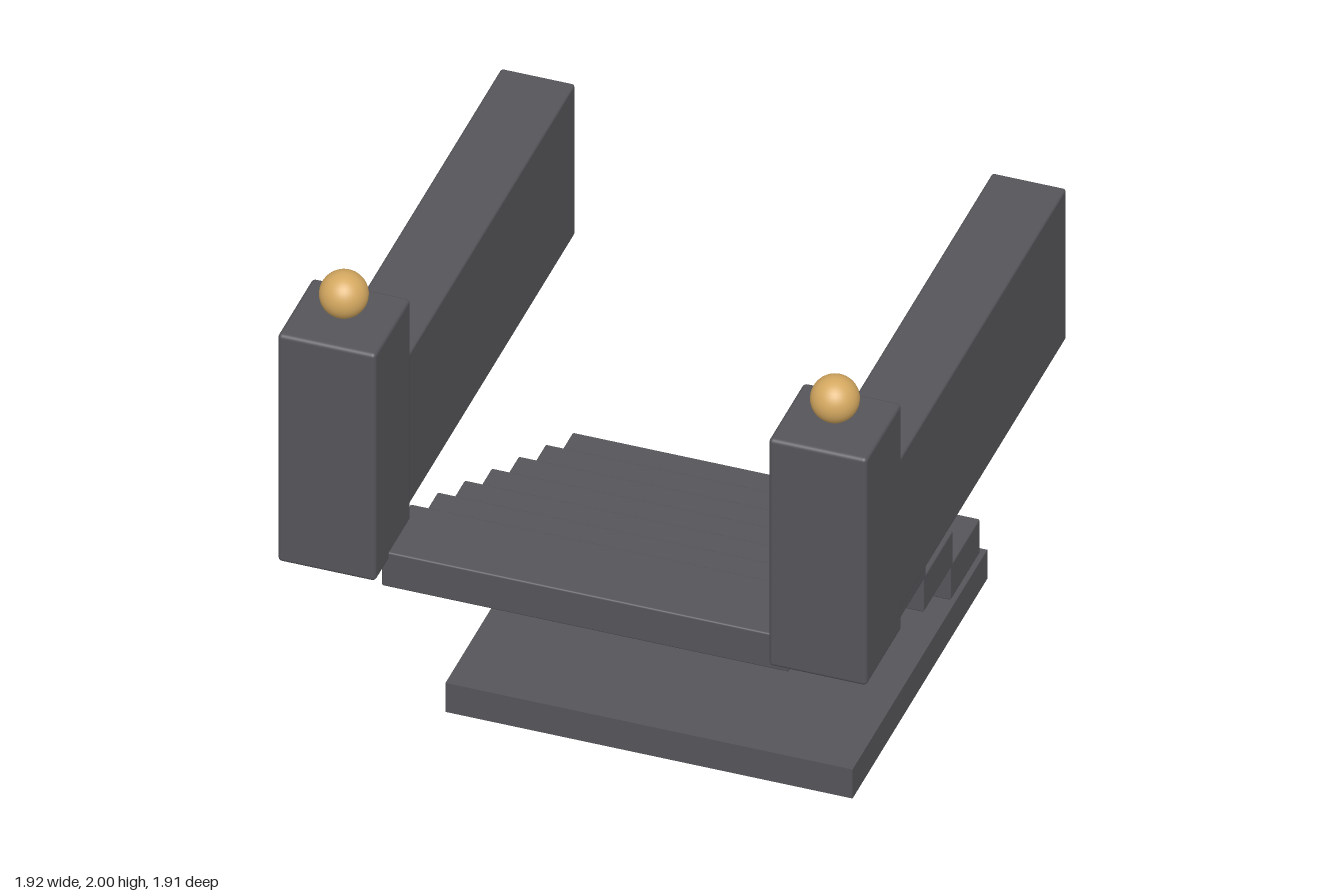
import * as THREE from 'three';
import { RoundedBoxGeometry } from 'three/addons/geometries/RoundedBoxGeometry.js';

export function createModel() {
  const model = new THREE.Group();
  model.name = 'staircase';

  const stone = new THREE.MeshStandardMaterial({ color: 0x55555a });
  stone.name = 'dark stone';
  const brass = new THREE.MeshStandardMaterial({ color: 0xd4a860 });
  brass.name = 'brass';

  const add = (name, geometry, material, x, y, z) => {
    const mesh = new THREE.Mesh(geometry, material);
    mesh.name = name;
    mesh.position.set(x, y, z);
    model.add(mesh);
  };

  // Block given by its minimum and maximum corners, with softened edges
  const block = (name, [x0, y0, z0], [x1, y1, z1], bevel) => {
    const size = [x1 - x0, y1 - y0, z1 - z0];
    const geometry = bevel
      ? new RoundedBoxGeometry(...size, 3, bevel)
      : new THREE.BoxGeometry(...size);
    add(name, geometry, stone, (x0 + x1) / 2, (y0 + y1) / 2, (z0 + z1) / 2);
  };

  // Ground slab
  block('baseSlab', [-0.664, 0, -0.957], [0.664, 0.11, 0.26]);

  // Seven treads climbing toward the front
  for (let i = 0; i < 7; i++) {
    const y = 0.143 + i * 0.122;
    const z = -0.89 + i * 0.244;
    block(`step${i + 1}`, [-0.664, y, z], [0.664, y + 0.131, z + 0.263], 0.006);
  }

  // Side walls, newel posts and ball finials
  for (const [side, s] of [['left', 1], ['right', -1]]) {
    const cx = 0.801 * s;
    block(`${side}Wall`, [cx - 0.121, 0.975, -0.957], [cx + 0.121, 1.548, 0.72], 0.01);
    block(`${side}Post`, [cx - 0.16, 0.975, 0.638], [cx + 0.16, 1.837, 0.957], 0.014);
    add(`${side}Finial`, new THREE.SphereGeometry(0.077, 32, 20), brass, cx, 1.923, 0.798);
  }

  return model;
}
